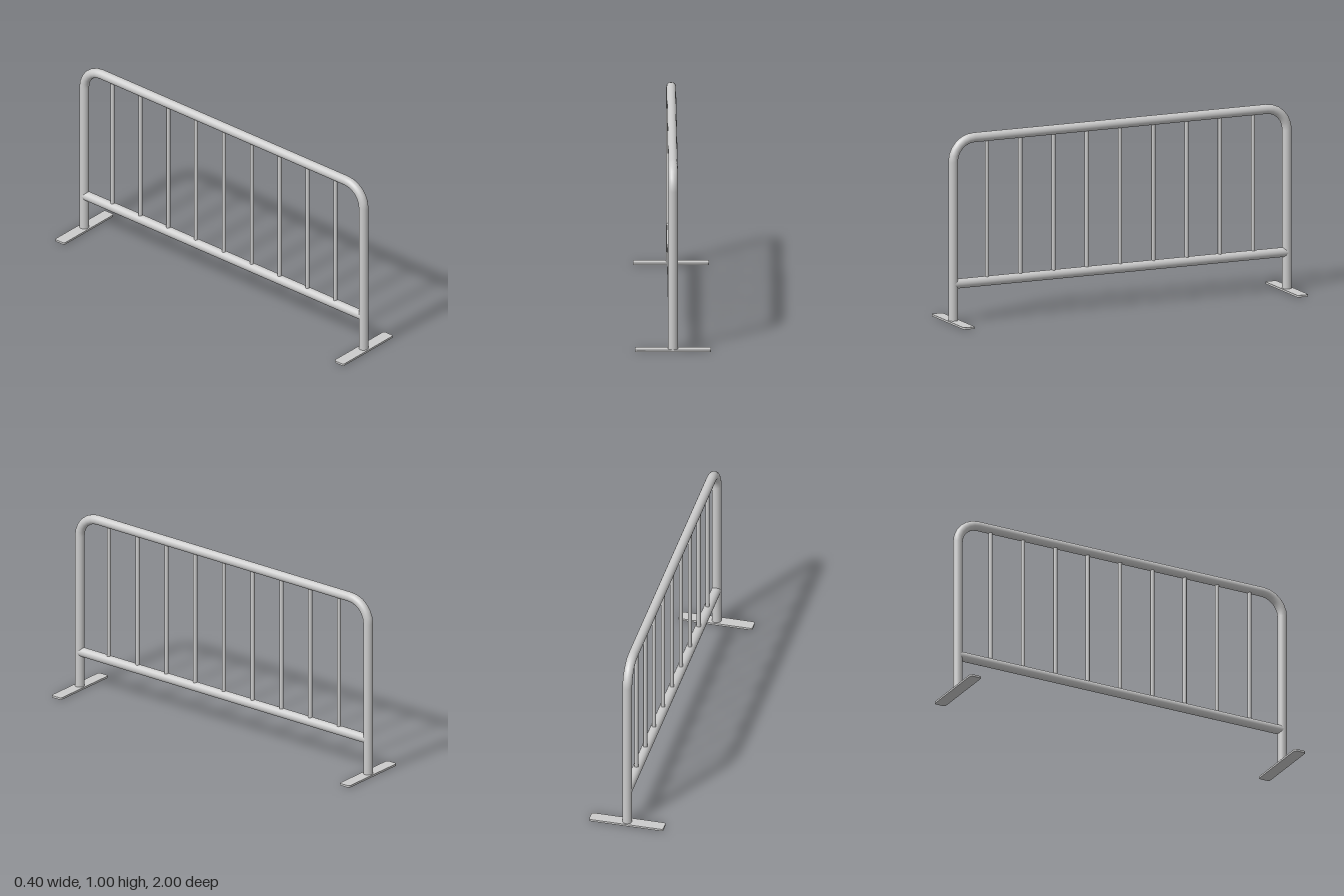
import * as THREE from 'three';

const R = 0.0255;      // main tube radius
const BEND = 0.12;     // centreline radius of the corner bends
const END_Z = 0.968;   // post centreline
const TOP_Y = 0.979;   // top rail centreline
const LOW_Y = 0.205;   // lower rail centreline
const FOOT_H = 0.011;

export function createModel() {
  const group = new THREE.Group();
  const material = new THREE.MeshStandardMaterial({ color: 0xcccccc });

  const add = (name, geometry, x = 0, y = 0, z = 0) => {
    const mesh = new THREE.Mesh(geometry, material);
    mesh.name = name;
    mesh.position.set(x, y, z);
    group.add(mesh);
    return mesh;
  };
  const pipe = (radius, length, sides = 20) =>
    new THREE.CylinderGeometry(radius, radius, length, sides, 1, true);

  // Flat foot plate with slightly rounded corners
  const w = 0.2, d = 0.0325, c = 0.012;
  const plate = new THREE.Shape();
  plate.moveTo(-w + c, -d);
  plate.lineTo(w - c, -d);
  plate.quadraticCurveTo(w, -d, w, -d + c);
  plate.lineTo(w, d - c);
  plate.quadraticCurveTo(w, d, w - c, d);
  plate.lineTo(-w + c, d);
  plate.quadraticCurveTo(-w, d, -w, d - c);
  plate.lineTo(-w, -d + c);
  plate.quadraticCurveTo(-w, -d, -w + c, -d);
  const footGeometry = new THREE.ExtrudeGeometry(plate, {
    depth: FOOT_H, bevelEnabled: false, curveSegments: 3,
  }).rotateX(-Math.PI / 2);

  // Each end: foot, post and corner bend
  const postTop = TOP_Y - BEND;
  const postHeight = postTop - FOOT_H;
  for (const [side, s] of [['front', 1], ['back', -1]]) {
    add(side + 'Foot', footGeometry, 0, 0, s * (1 - d));
    add(side + 'Post', pipe(R, postHeight), 0, FOOT_H + postHeight / 2, s * END_Z);
    const bend = new THREE.TorusGeometry(BEND, R, 20, 6, Math.PI / 2);
    bend.rotateY(-s * Math.PI / 2);
    add(side + 'Bend', bend, 0, postTop, s * (END_Z - BEND));
  }

  // Horizontal rails
  add('topRail', pipe(R, 2 * (END_Z - BEND)).rotateX(Math.PI / 2), 0, TOP_Y, 0);
  add('lowerRail', pipe(R, 2 * END_Z).rotateX(Math.PI / 2), 0, LOW_Y, 0);

  // Evenly spaced thin bars between the rails
  const barGeometry = pipe(0.011, TOP_Y - LOW_Y, 12);
  for (let i = -4; i <= 4; i++) {
    add('bar' + (i + 5), barGeometry, 0, (TOP_Y + LOW_Y) / 2, i * 0.193);
  }

  return group;
}
